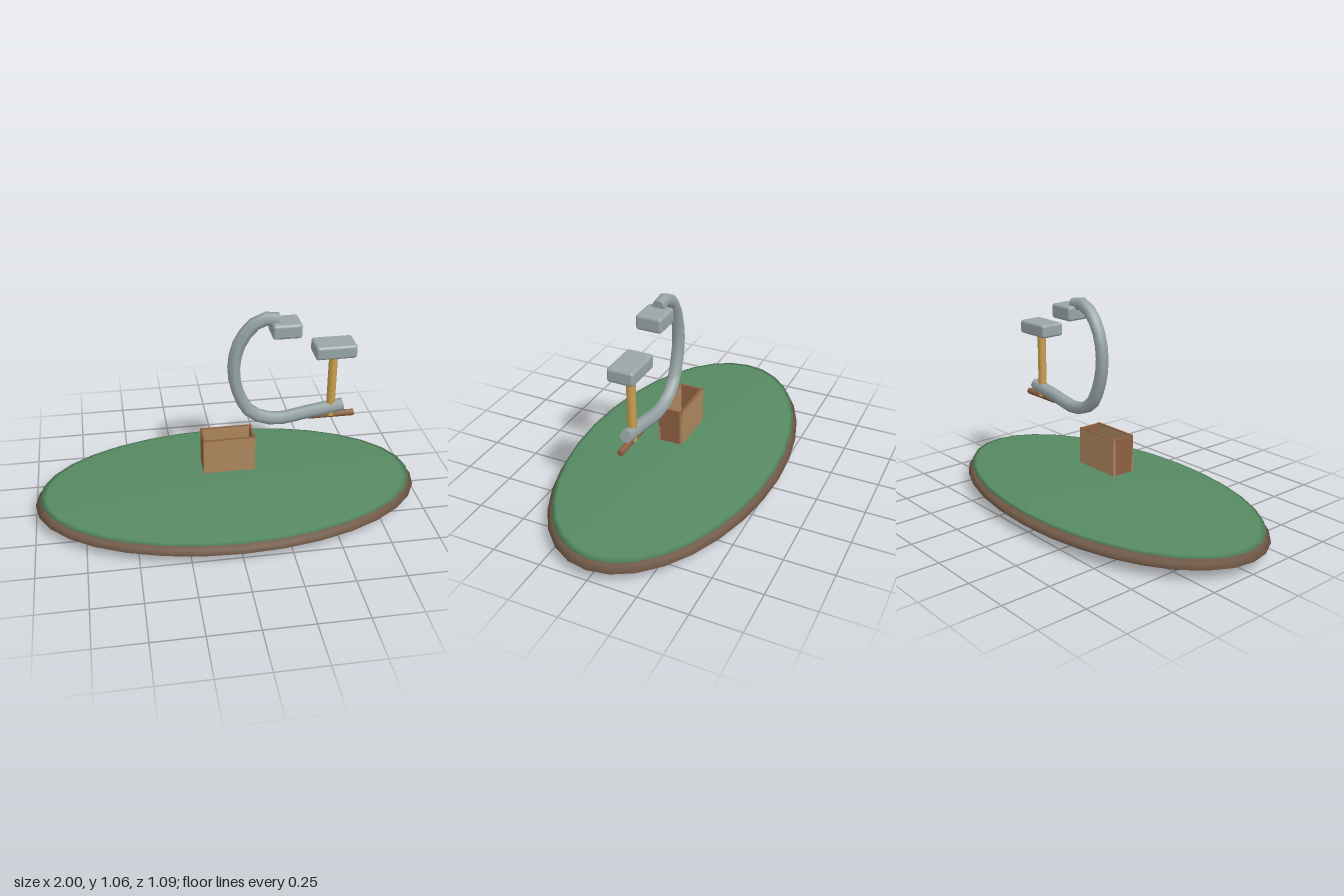
import * as THREE from 'three';
import { RoundedBoxGeometry } from 'three/addons/geometries/RoundedBoxGeometry.js';

const mat = (name, color) => {
  const m = new THREE.MeshStandardMaterial({ color });
  m.name = name;
  return m;
};

export function createModel() {
  const earth = mat('earth brown', 0x6f5846);
  const green = mat('grass green', 0x568a62);
  const tan = mat('tan wood', 0xae875e);
  const brown = mat('red brown wood', 0x8f6040);
  const steel = mat('steel grey', 0x98a5a6);
  const brass = mat('brass', 0xc9a04e);

  const model = new THREE.Group();
  const add = (name, geometry, material, x = 0, y = 0, z = 0, parent = model) => {
    const mesh = new THREE.Mesh(geometry, material);
    mesh.name = name;
    mesh.position.set(x, y, z);
    parent.add(mesh);
    return mesh;
  };

  // Flattened ground discs
  const disc = (rx, ry, rz) => new THREE.SphereGeometry(1, 32, 12).scale(rx, ry, rz);
  add('groundBase', disc(1, 0.06, 0.545), earth, 0, 0.06);
  add('groundTop', disc(0.975, 0.02, 0.522), green, 0, 0.103);

  // Open-topped box: tan long panels, darker ends and floor
  const crate = new THREE.Group();
  crate.name = 'openBox';
  model.add(crate);
  const wall = 0.012, w = 0.265, h = 0.19, d = 0.13, cy = 0.31;
  for (const s of [-1, 1]) {
    add(s > 0 ? 'frontPanel' : 'backPanel', new THREE.BoxGeometry(w, h, wall), tan,
      0, cy, s * (d - wall) / 2, crate);
    add(s > 0 ? 'leftPanel' : 'rightPanel', new THREE.BoxGeometry(wall, h, d - 0.002), brown,
      s * (w - wall) / 2, cy, 0, crate);
  }
  add('boxFloor', new THREE.BoxGeometry(w - wall, wall, d - wall), brown, 0, cy - (h - wall) / 2, 0, crate);
  // Darker rims along the long panels
  for (const s of [-1, 1]) {
    add('panelRim', new THREE.BoxGeometry(w, 0.004, wall), brown, 0, cy + h / 2, s * (d - wall) / 2, crate);
  }

  // C-shaped clamp frame, six-sided tube with closed ends
  const clamp = new THREE.Group();
  clamp.name = 'clamp';
  model.add(clamp);
  const path = new THREE.CatmullRomCurve3([
    [0.25, 1.025], [0.175, 1.032], [0.12, 1.0], [0.055, 0.905], [0.03, 0.77],
    [0.055, 0.635], [0.118, 0.522], [0.24, 0.473], [0.42, 0.498], [0.595, 0.525],
  ].map(([x, y]) => new THREE.Vector3(x, y, 0)));
  const r = 0.034;
  add('clampFrame', new THREE.TubeGeometry(path, 18, r, 6), steel, 0, 0, 0, clamp);
  for (const t of [0, 1]) {
    const end = path.getPointAt(t);
    const out = path.getTangentAt(t).multiplyScalar(t ? 1 : -1);
    // Corners of the cap lie on the z axis, like those of the tube
    const cap = add('frameEnd', new THREE.CircleGeometry(r, 6, Math.PI / 2).rotateX(Math.PI / 2).rotateZ(-Math.PI / 2)
      .rotateY(0), steel, end.x, end.y, 0, clamp);
    cap.geometry.dispose();
    cap.geometry = new THREE.CircleGeometry(r, 6).rotateY(Math.PI / 2);
    cap.rotation.z = Math.atan2(out.y, out.x);
  }

  // Jaw pads
  add('upperJaw', new RoundedBoxGeometry(0.145, 0.076, 0.13, 3, 0.015), steel, 0.283, 0.982, 0, clamp);
  add('lowerJaw', new RoundedBoxGeometry(0.207, 0.071, 0.132, 3, 0.015), steel, 0.532, 0.852, 0, clamp);

  // Screw and its turning bar
  add('screw', new THREE.CylinderGeometry(0.022, 0.022, 0.36, 10), brass, 0.532, 0.65, 0, clamp);
  add('turningBar', new THREE.CylinderGeometry(0.017, 0.017, 0.24, 6).rotateZ(Math.PI / 2),
    brown, 0.535, 0.472, 0, clamp);

  return model;
}
